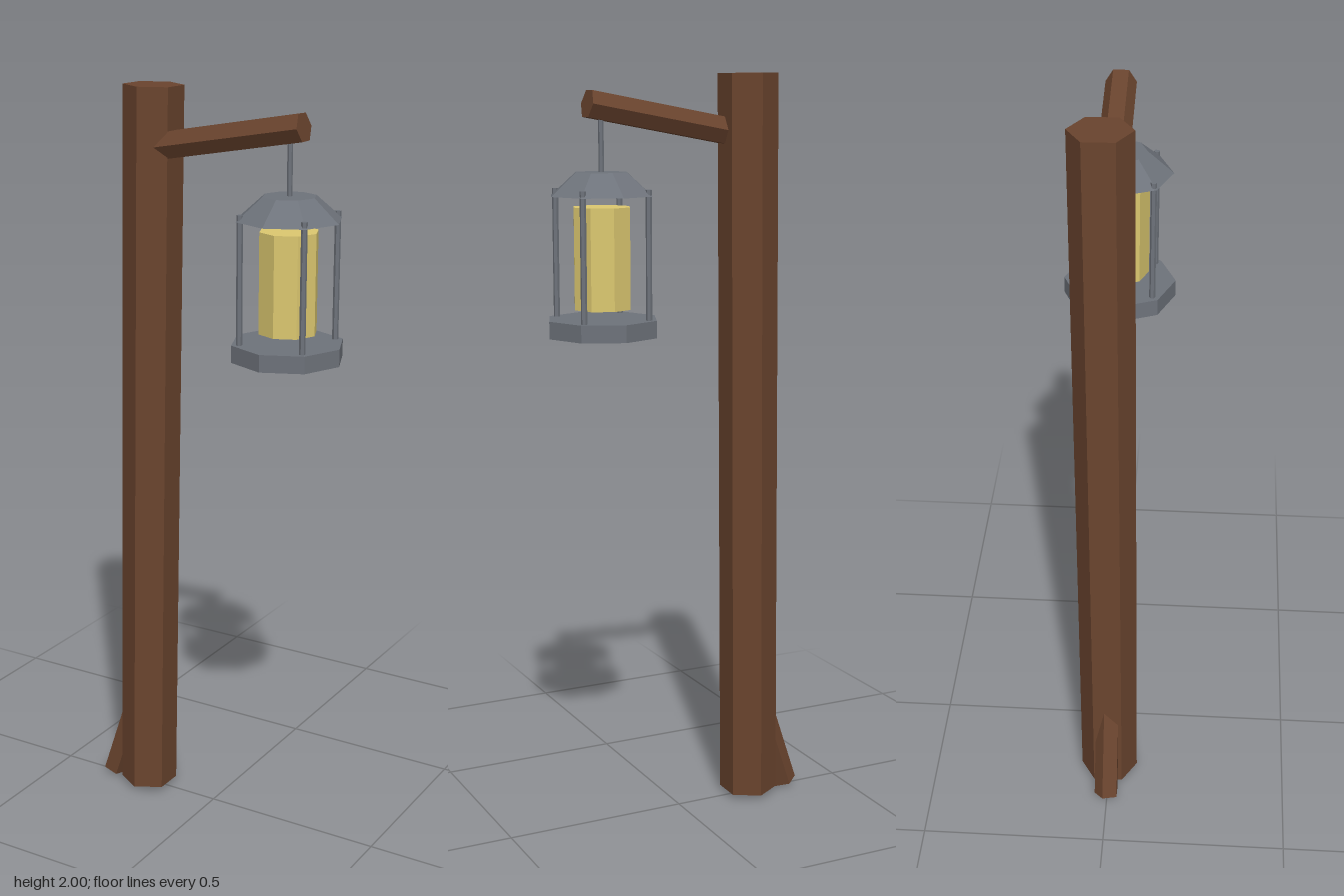
import * as THREE from 'three';

export function createModel() {
  const group = new THREE.Group();
  const material = (name, color) => {
    const m = new THREE.MeshStandardMaterial({ color, flatShading: true });
    m.name = name;
    return m;
  };
  const wood = material('brown wood', 0x6a442e);
  const metal = material('grey metal', 0x6e737b);
  const glow = material('yellow glass', 0xdcc870);
  const up = new THREE.Vector3(0, 1, 0);

  // Prism running from one point to another
  function beam(name, from, to, radius, sides, mat, turn = 0) {
    const a = new THREE.Vector3(...from), b = new THREE.Vector3(...to);
    const geometry = new THREE.CylinderGeometry(radius, radius, a.distanceTo(b), sides);
    geometry.rotateY(turn);
    const mesh = new THREE.Mesh(geometry, mat);
    mesh.name = name;
    mesh.position.copy(a).add(b).multiplyScalar(0.5);
    mesh.quaternion.setFromUnitVectors(up, b.sub(a).normalize());
    group.add(mesh);
  }

  // Leaning post, its foot brace and the rising arm
  beam('post', [-0.219, 0.015, 0], [-0.19, 1.999, -0.02], 0.079, 6, wood);
  beam('brace', [-0.336, 0.011, 0], [-0.226, 0.341, 0], 0.035, 5, wood, Math.PI);
  beam('arm', [-0.19, 1.842, 0], [0.256, 1.922, 0], 0.039, 6, wood);

  // Hanging lantern
  const lantern = new THREE.Group();
  lantern.name = 'lantern';
  lantern.position.x = 0.219;
  group.add(lantern);

  function upright(name, top, bottom, y0, y1, sides, mat, x = 0, z = 0) {
    const mesh = new THREE.Mesh(new THREE.CylinderGeometry(top, bottom, y1 - y0, sides), mat);
    mesh.name = name;
    mesh.position.set(x, (y0 + y1) / 2, z);
    lantern.add(mesh);
  }
  upright('lanternBase', 0.148, 0.148, 1.335, 1.38, 8, metal);
  upright('lanternRoof', 0.07, 0.138, 1.693, 1.752, 8, metal);
  upright('lanternGlass', 0.077, 0.077, 1.405, 1.665, 8, glow);
  upright('hangingRod', 0.007, 0.007, 1.75, 1.9, 6, metal);
  for (const x of [-0.09, 0.09]) {
    for (const z of [-0.09, 0.09]) upright('cageBar', 0.008, 0.008, 1.375, 1.71, 6, metal, x, z);
  }
  return group;
}
